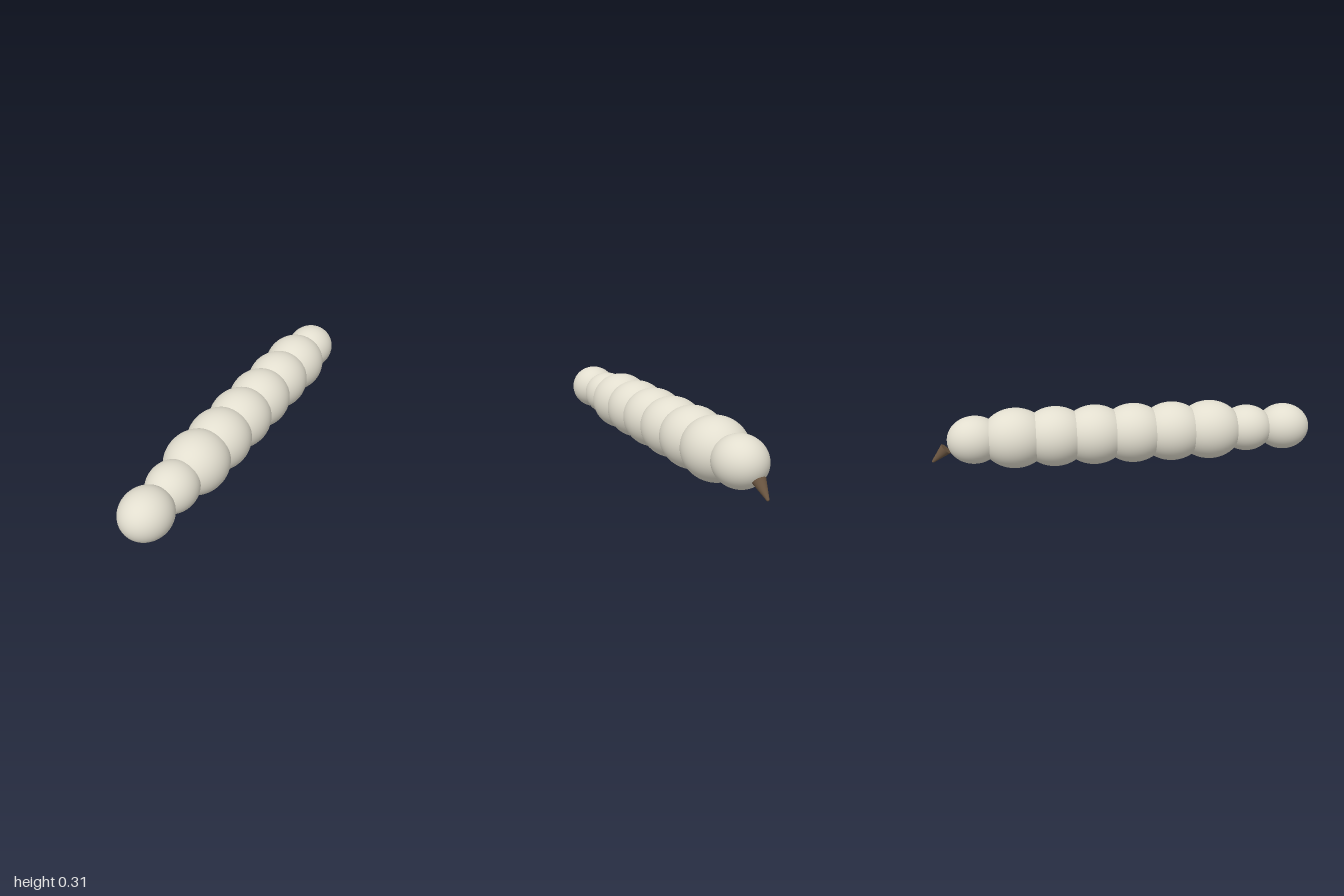
import * as THREE from 'three';

export function createModel() {
  const model = new THREE.Group();
  const bodyMaterial = new THREE.MeshStandardMaterial({ color: 0xe2decf });
  const hornMaterial = new THREE.MeshStandardMaterial({ color: 0x6b5641 });
  const ball = new THREE.SphereGeometry(1, 48, 32);
  const centreY = 0.156;

  // Row of overlapping egg-shaped body segments, head first
  const names = ['head', 'neck', 'body1', 'body2', 'body3', 'body4', 'body5', 'body6', 'rear'];
  names.forEach((name, i) => {
    const segment = new THREE.Mesh(ball, bodyMaterial);
    segment.name = name;
    if (name.startsWith('body')) segment.scale.set(0.16, 0.155, 0.176);
    else segment.scale.set(0.127, 0.1225, 0.139);
    segment.position.set(0, centreY, 0.861 - 0.205 * i);
    model.add(segment);
  });

  // Tail spike, blunt at the tip, pointing down and back
  const base = new THREE.Vector3(0, 0.115, -0.925);
  const tip = new THREE.Vector3(0, 0.048, -0.995);
  const axis = tip.clone().sub(base);
  const spike = new THREE.Mesh(new THREE.CylinderGeometry(0.006, 0.032, axis.length(), 32), hornMaterial);
  spike.name = 'tailSpike';
  spike.position.copy(base).add(tip).multiplyScalar(0.5);
  spike.quaternion.setFromUnitVectors(new THREE.Vector3(0, 1, 0), axis.normalize());
  model.add(spike);

  return model;
}
